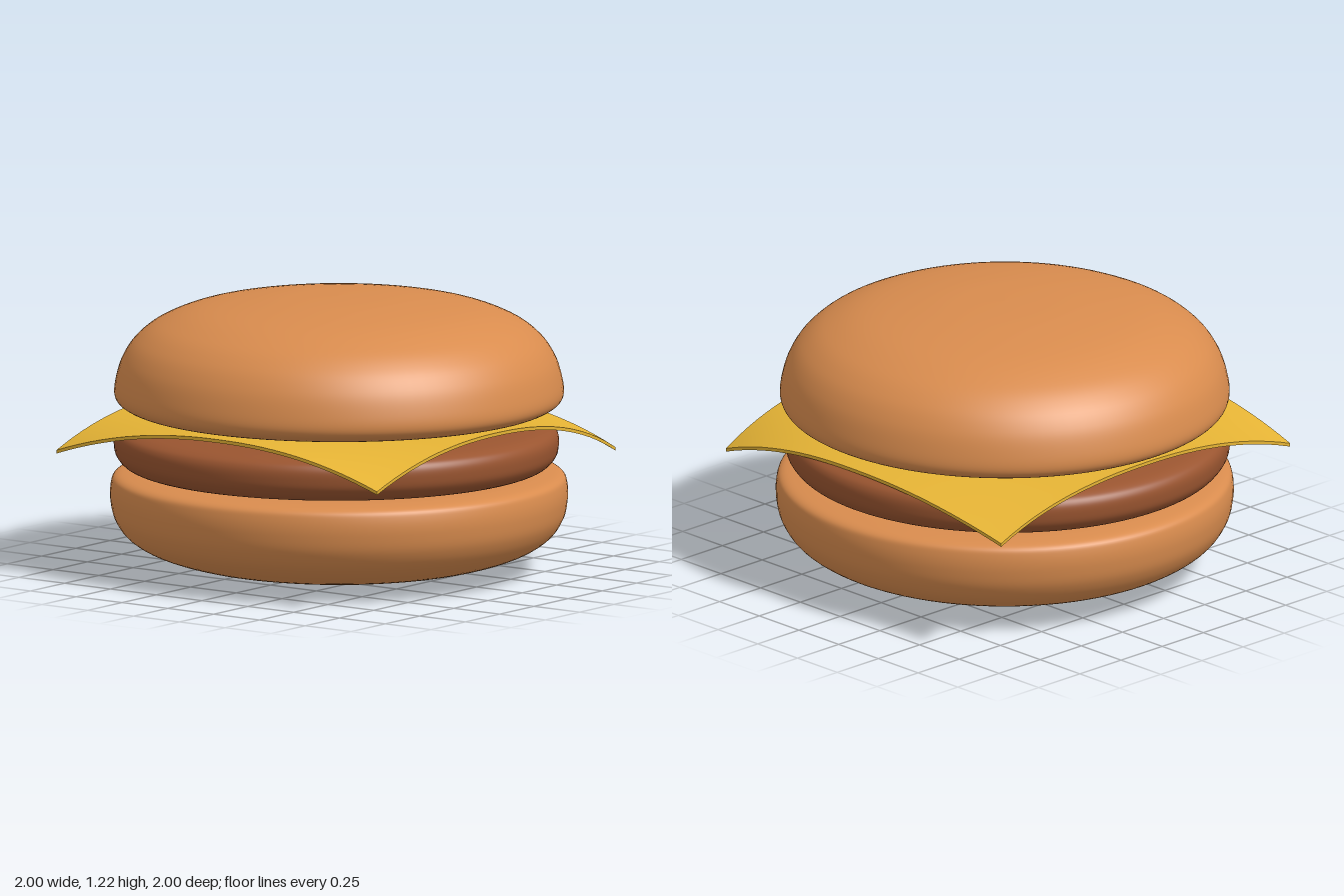
import * as THREE from 'three';

const BUN = 0xd98c4e, PATTY = 0x9a5530, CHEESE = 0xe6b435;

// Smooth round body turned from a profile of [radius, height] points, bottom to top
function turned(name, color, profile) {
  const curve = new THREE.SplineCurve(profile.map(([r, y]) => new THREE.Vector2(r, y)));
  const pts = curve.getPoints(70);
  pts.forEach(p => { p.x = Math.max(p.x, 0); });
  const mesh = new THREE.Mesh(
    new THREE.LatheGeometry(pts, 96),
    new THREE.MeshStandardMaterial({ color })
  );
  mesh.name = name;
  return mesh;
}

// Thin square slice whose corners droop over the patty
function cheeseSlice() {
  const geo = new THREE.BoxGeometry(2, 0.015, 2, 28, 1, 28);
  const pos = geo.attributes.position;
  // Corner positions [x, z, droop]
  const backLow = [-0.88, -0.885, 0.14], backHigh = [0.89, -0.9, 0.11];
  const frontLow = [-0.9, 0.88, 0.14], frontHigh = [0.855, 0.87, 0.145];
  for (let i = 0; i < pos.count; i++) {
    const u = pos.getX(i), v = pos.getZ(i), s = (u + 1) / 2, t = (v + 1) / 2;
    const mix = k => THREE.MathUtils.lerp(
      THREE.MathUtils.lerp(backLow[k], backHigh[k], s),
      THREE.MathUtils.lerp(frontLow[k], frontHigh[k], s), t);
    const fold = Math.pow(Math.abs(u * v), 2.2);
    const sag = 0.04 * Math.pow(Math.max(u, 0), 4);
    const bulge = 0.035 * (1 - v * v) * Math.max(u, 0);
    pos.setXYZ(i, mix(0) + bulge, 0.697 + pos.getY(i) - mix(2) * fold - sag, mix(1));
  }
  geo.computeVertexNormals();
  const mesh = new THREE.Mesh(geo, new THREE.MeshStandardMaterial({ color: CHEESE }));
  mesh.name = 'cheeseSlice';
  return mesh;
}

export function createModel() {
  const burger = new THREE.Group();
  burger.name = 'cheeseburger';

  const bottomBun = turned('bottomBun', BUN, [
    [0, 0.005], [0.3, 0.012], [0.6, 0.04], [0.8, 0.09], [0.92, 0.155], [0.98, 0.235],
    [1, 0.32], [0.998, 0.39], [0.98, 0.428], [0.92, 0.444], [0.8, 0.45], [0.4, 0.45], [0, 0.45],
  ]);

  const patty = turned('patty', PATTY, [
    [0, 0.445], [0.5, 0.448], [0.8, 0.455], [0.91, 0.472], [0.96, 0.515], [0.973, 0.565],
    [0.968, 0.61], [0.94, 0.638], [0.87, 0.655], [0.7, 0.667], [0.4, 0.672], [0, 0.673],
  ]);
  patty.position.set(-0.013, 0, -0.005);

  const topBun = turned('topBun', BUN, [
    [0, 0.692], [0.4, 0.694], [0.7, 0.702], [0.87, 0.72], [0.95, 0.745], [0.982, 0.785],
    [0.975, 0.86], [0.945, 0.95], [0.885, 1.035], [0.78, 1.11], [0.6, 1.172], [0.3, 1.211], [0, 1.22],
  ]);

  burger.add(bottomBun, patty, cheeseSlice(), topBun);
  return burger;
}
